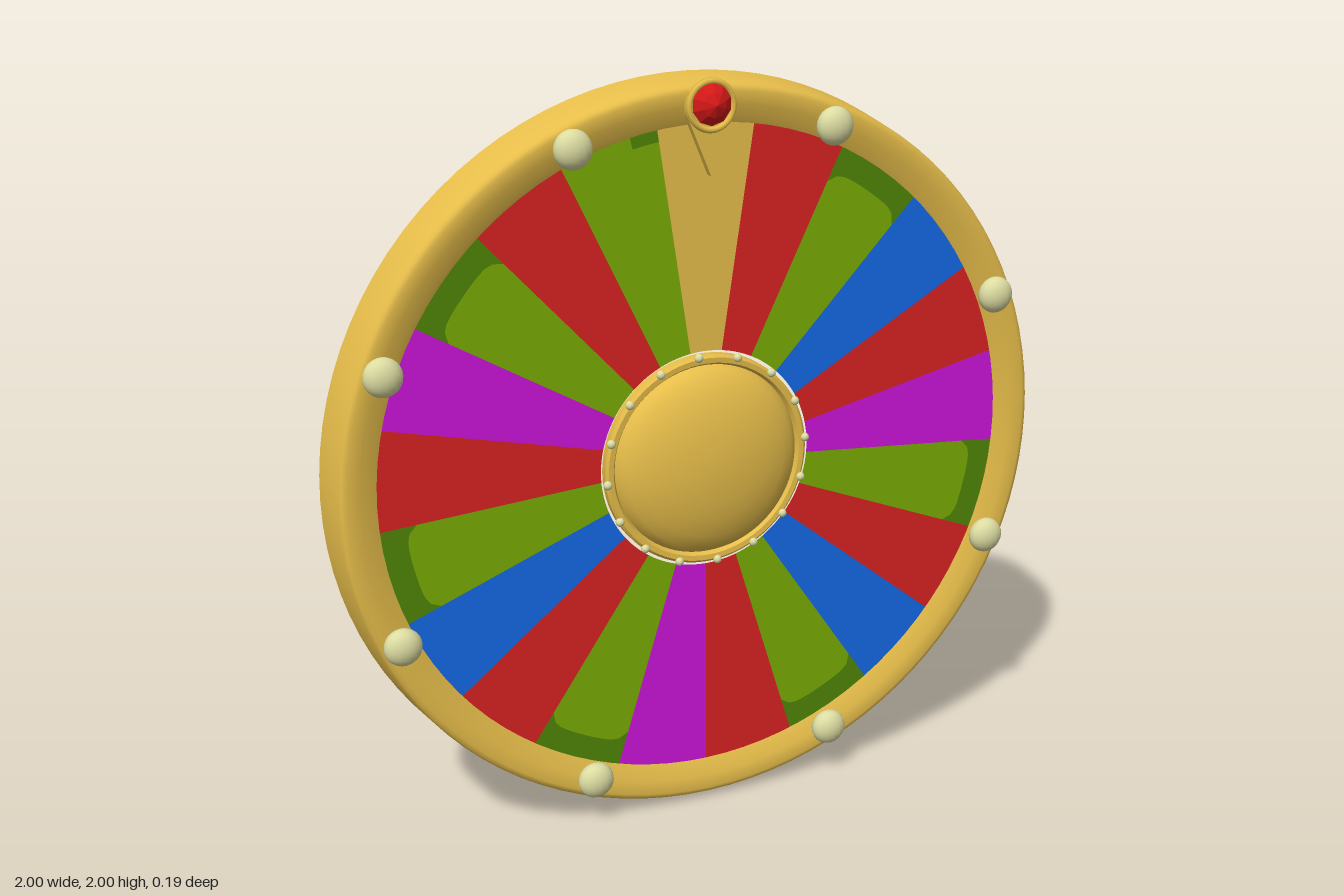
import * as THREE from 'three';
import { toCreasedNormals } from 'three/addons/utils/BufferGeometryUtils.js';

const mat = (name, color) => {
  const m = new THREE.MeshStandardMaterial({ color, side: THREE.DoubleSide });
  m.name = name;
  return m;
};

export function createModel() {
  const gold = mat('gold', 0xe6bd4a);
  const red = mat('red', 0xd82222);
  const green = mat('green', 0x79aa04);
  const darkGreen = mat('dark green', 0x4f8404);
  const blue = mat('blue', 0x1469e4);
  const magenta = mat('magenta', 0xca14d8);
  const pearl = mat('pearl', 0xdcdca2);
  const ruby = mat('ruby', 0xd81818);

  const model = new THREE.Group();
  model.name = 'prizeWheel';
  const wheel = new THREE.Group();
  wheel.name = 'wheel';
  wheel.position.y = 1;
  model.add(wheel);

  const add = (name, geometry, material, x = 0, y = 0, z = 0) => {
    const mesh = new THREE.Mesh(geometry, material);
    mesh.name = name;
    mesh.position.set(x, y, z);
    wheel.add(mesh);
    return mesh;
  };
  // Turned part around the z axis, from [radius, z] pairs
  const turned = (pairs, segments, crease) => {
    const g = new THREE.LatheGeometry(pairs.map(([r, z]) => new THREE.Vector2(r, z)), segments);
    g.rotateX(Math.PI / 2);
    return toCreasedNormals(g, crease);
  };
  // Point at a clockwise angle in degrees from the top
  const polar = (r, deg) => {
    const a = THREE.MathUtils.degToRad(deg);
    return new THREE.Vector2(r * Math.sin(a), r * Math.cos(a));
  };

  // Hollow rim: back ring, inner wall, softly rounded and dished front
  add('rim', turned([[0.95, 0.012], [0.945, -0.088], [1.0, -0.1],
    [0.984, 0.022], [0.978, 0.032], [0.965, 0.037], [0.93, 0.029], [0.9, 0.019], [0.885, 0.012]], 96, 0.9), gold);

  // Coloured wedges; outer edge is a function of t across the wedge
  const STEP = 360 / 21, R0 = 0.297, R1 = 0.952, Z = 0.01, N = 12;
  const wedge = (name, material, start, inner, outer, t0 = 0, t1 = 1) => {
    const edge = f => Array.from({ length: N + 1 }, (_, i) => {
      const t = t0 + (t1 - t0) * i / N;
      return polar(f(t), start + STEP * t);
    });
    const shape = new THREE.Shape([...edge(outer), ...edge(inner).reverse()]);
    add(name, new THREE.ShapeGeometry(shape), material, 0, 0, Z);
  };
  const hubEdge = () => R0, rimEdge = () => R1;
  // Light green field with rounded outer corners
  const roundedEdge = t => 0.82 - 0.03 * Math.pow(Math.abs(2 * t - 1), 7);
  const colours = { Y: gold, R: red, B: blue, M: magenta };
  [...'YRGBRMGRBGRMGRBGRMGRG'].forEach((key, i) => {
    const start = (i - 0.5) * STEP;
    if (key !== 'G') {
      wedge('panel', colours[key], start, hubEdge, rimEdge);
    } else if (i < 20) {
      wedge('greenPanel', green, start, hubEdge, roundedEdge);
      wedge('greenPanelBorder', darkGreen, start, roundedEdge, rimEdge);
    } else {
      // Last green panel has only a small dark corner
      const corner = () => 0.855;
      wedge('greenPanel', green, start, hubEdge, rimEdge, 0, 0.72);
      wedge('greenPanelCornerField', green, start, hubEdge, corner, 0.72, 1);
      wedge('greenPanelCorner', darkGreen, start, corner, rimEdge, 0.72, 1);
    }
  });

  // Domed hub, hollow at the back, with a narrow gap to the panels
  add('hub', turned([[0, 0.082], [0.1, 0.076], [0.18, 0.055], [0.225, 0.02], [0.236, 0.0],
    [0.243, -0.03], [0.256, -0.03], [0.288, -0.005], [0.288, 0.018], [0.281, 0.025], [0.267, 0.024],
    [0.26, 0.012], [0.252, 0.028], [0.235, 0.044], [0.2, 0.062], [0.15, 0.077],
    [0.1, 0.086], [0.05, 0.091], [0, 0.093]], 72, 0.5), gold);

  // Small beads around the hub
  const bead = new THREE.SphereGeometry(0.012, 10, 8);
  for (let i = 0; i < 16; i++) {
    const p = polar(0.285, -5.4 + i * 22.5);
    add('hubBead', bead, pearl, p.x, p.y, 0.024);
  }

  // Large flattened studs on the rim
  const stud = new THREE.SphereGeometry(0.05, 16, 12);
  for (let i = 0; i < 8; i++) {
    const p = polar(0.925, 21.7 + i * 45);
    add('rimStud', stud, pearl, p.x, p.y, 0.046).scale.z = 0.68;
  }

  // Teardrop pointer with a raised collar
  const drop = new THREE.Shape();
  drop.absarc(0, 0, 0.068, -0.38, Math.PI + 0.38, false);
  drop.lineTo(0, -0.175);
  drop.closePath();
  add('pointer', new THREE.ExtrudeGeometry(drop, { depth: 0.022, bevelEnabled: false, curveSegments: 24 }),
    gold, 0, 0.931, 0.018);
  add('pointerCollar', new THREE.TorusGeometry(0.06, 0.008, 8, 32), gold, 0, 0.931, 0.042);

  // Faceted gem
  const gem = new THREE.LatheGeometry([[0.054, 0], [0.032, 0.02], [0, 0.034]]
    .map(([r, h]) => new THREE.Vector2(r, h)), 10).rotateX(Math.PI / 2).toNonIndexed();
  gem.computeVertexNormals();
  add('gem', gem, ruby, 0, 0.935, 0.044);

  return model;
}
